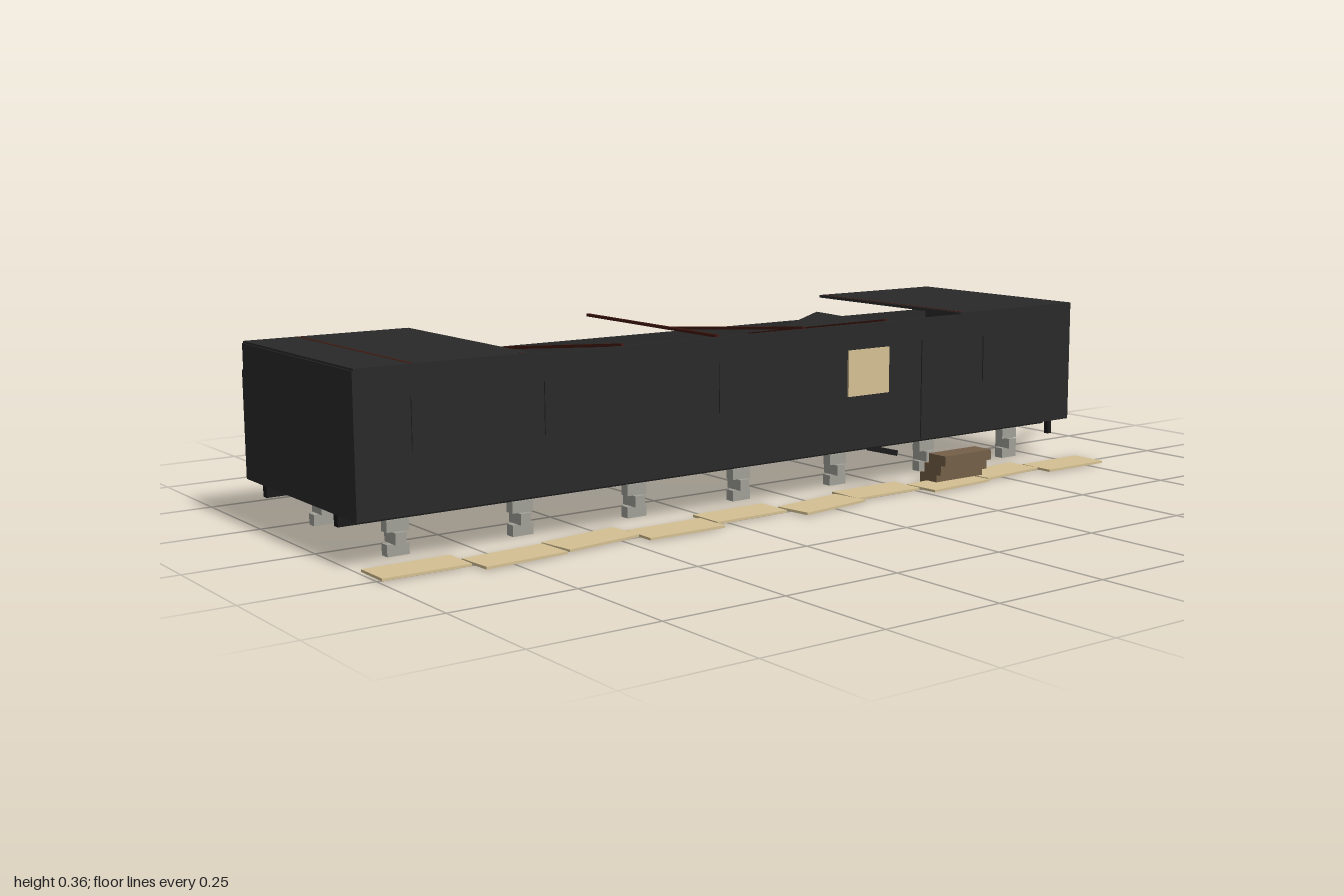
import * as THREE from 'three';

export function createModel() {
  const root = new THREE.Group();
  const mat = (name, color, side = THREE.FrontSide) => {
    const m = new THREE.MeshStandardMaterial({ color, side });
    m.name = name;
    return m;
  };
  const siding = mat('scorched siding', 0x292929, THREE.DoubleSide);
  const char = mat('charred steel', 0x1a1a1a);
  const rust = mat('burnt rafter', 0x421a10);
  const ply = mat('plywood', 0xd4c092);
  const wood = mat('step wood', 0x745f48);
  const block = mat('concrete', 0xa0a098);

  const add = (name, geo, m, x = 0, y = 0, z = 0, parent = root) => {
    const mesh = new THREE.Mesh(geo, m);
    mesh.name = name;
    mesh.position.set(x, y, z);
    parent.add(mesh);
    return mesh;
  };
  // Box given by its two extreme corners
  const box = (name, m, x0, x1, y0, y1, z0, z1, parent = root) =>
    add(name, new THREE.BoxGeometry(x1 - x0, y1 - y0, z1 - z0), m,
      (x0 + x1) / 2, (y0 + y1) / 2, (z0 + z1) / 2, parent);
  // Square bar running from a to b
  const bar = (name, m, a, b, w, h = w) => {
    const p = new THREE.Vector3(...a), q = new THREE.Vector3(...b);
    const mid = p.clone().add(q).multiplyScalar(0.5);
    const mesh = add(name, new THREE.BoxGeometry(w, h, p.distanceTo(q)), m, mid.x, mid.y, mid.z);
    mesh.lookAt(q);
  };

  // Shell: floor, walls and the two standing ends of the roof
  box('floor', char, -0.99, 0.79, 0.088, 0.098, -0.298, 0.172);
  box('frontWall', siding, -1, 0.796, 0.09, 0.357, 0.174, 0.18);
  box('backWall', siding, -1, 0.796, 0.09, 0.305, -0.307, -0.301);
  box('leftEndWall', siding, 0.79, 0.796, 0.09, 0.357, -0.301, 0.174);
  box('rightEndWall', siding, -1, -0.994, 0.09, 0.357, -0.301, 0.174);
  box('rightRoof', siding, -0.997, -0.645, 0.355, 0.361, -0.304, 0.18);
  box('leftRoof', siding, 0.445, 0.796, 0.355, 0.361, -0.304, 0.18);

  // Collapsed roof sheets: corner heights front-right, front-left, back-left, back-right
  const sheets = [
    [-0.635, -0.295, 0.29, 0.21, 0.24, 0.32],
    [-0.295, 0.085, 0.24, 0.23, 0.24, 0.22],
    [0.085, 0.43, 0.31, 0.31, 0.32, 0.22],
  ];
  for (const [x0, x1, a, b, c, d] of sheets) {
    const geo = new THREE.BoxGeometry(x1 - x0, 0.005, 0.464);
    const p = geo.attributes.position;
    for (let i = 0; i < p.count; i++) {
      const u = p.getX(i) / (x1 - x0) + 0.5, v = p.getZ(i) / 0.464 + 0.5;
      const front = a + (b - a) * u, back = d + (c - d) * u;
      p.setY(i, p.getY(i) + back + (front - back) * v);
    }
    geo.computeVertexNormals();
    add('fallenRoofSheet', geo, siding, (x0 + x1) / 2, 0, -0.064);
  }

  // Rafters: x, drop of the back end
  const rafters = [[-0.885, 0], [-0.66, 0.03], [-0.44, 0.055], [-0.215, 0],
    [0.005, 0.045], [0.23, 0.075], [0.455, 0]];
  for (const [x, drop] of rafters)
    bar('rafter', rust, [x, 0.3585, 0.176], [x, 0.3585 - drop, -0.3], 0.007, 0.006);

  // Front windows, boarded window and door
  for (const x of [-0.89, -0.617, -0.215, 0.515])
    box('window', siding, x, x + 0.112, 0.205, 0.305, 0.179, 0.183);
  box('windowBoard', ply, 0.121, 0.234, 0.205, 0.303, 0.179, 0.184);
  box('door', siding, 0.33, 0.44, 0.092, 0.31, 0.179, 0.183);
  // Loose trim hanging under the wall
  bar('looseTrim', char, [0.18, 0.09, 0.178], [0.265, 0.068, 0.178], 0.004, 0.012);

  // Chassis rails on block piers
  for (const z of [0.094, -0.22]) {
    box('chassisRail', char, -1, 0.796, 0.068, 0.09, z - 0.008, z + 0.008);
    for (let i = 0; i < 7; i++) {
      const pier = new THREE.Group();
      pier.name = 'pier';
      pier.position.set(-0.885 + i * 0.2612, 0, z);
      root.add(pier);
      for (let k = 0; k < 3; k++) {
        const w = k === 1 ? 0.011 : 0.0225, d = k === 1 ? 0.0225 : 0.011;
        box('block', block, -w, w, k * 0.0225, k * 0.0225 + 0.0225, -d, d, pier);
      }
    }
  }

  // Tow hitch
  for (const z of [0.07, -0.196])
    bar('hitchArm', char, [0.79, 0.08, z], [0.99, 0.062, -0.0625], 0.015);
  box('hitchPost', char, 0.984, 0.996, 0, 0.068, -0.0685, -0.0565);

  // Door steps
  for (let i = 0; i < 3; i++)
    box('step', wood, 0.321, 0.458, 0.001 + i * 0.0222, 0.0232 + i * 0.0222, 0.192 + i * 0.0135, 0.243 + i * 0.0135);

  // Plywood walkway: x, z, turn
  const planks = [[-0.908, 0.221, 0], [-0.728, 0.253, 0.06], [-0.548, 0.227, 0.14], [-0.373, 0.253, 0],
    [-0.193, 0.221, 0], [-0.008, 0.253, 0.14], [0.168, 0.221, 0], [0.348, 0.253, 0.07],
    [0.527, 0.227, 0.1], [0.705, 0.253, 0]];
  for (const [x, z, turn] of planks)
    add('walkwayBoard', new THREE.BoxGeometry(0.174, 0.005, 0.082), ply, x, 0.0045, z).rotation.y = turn;

  return root;
}
